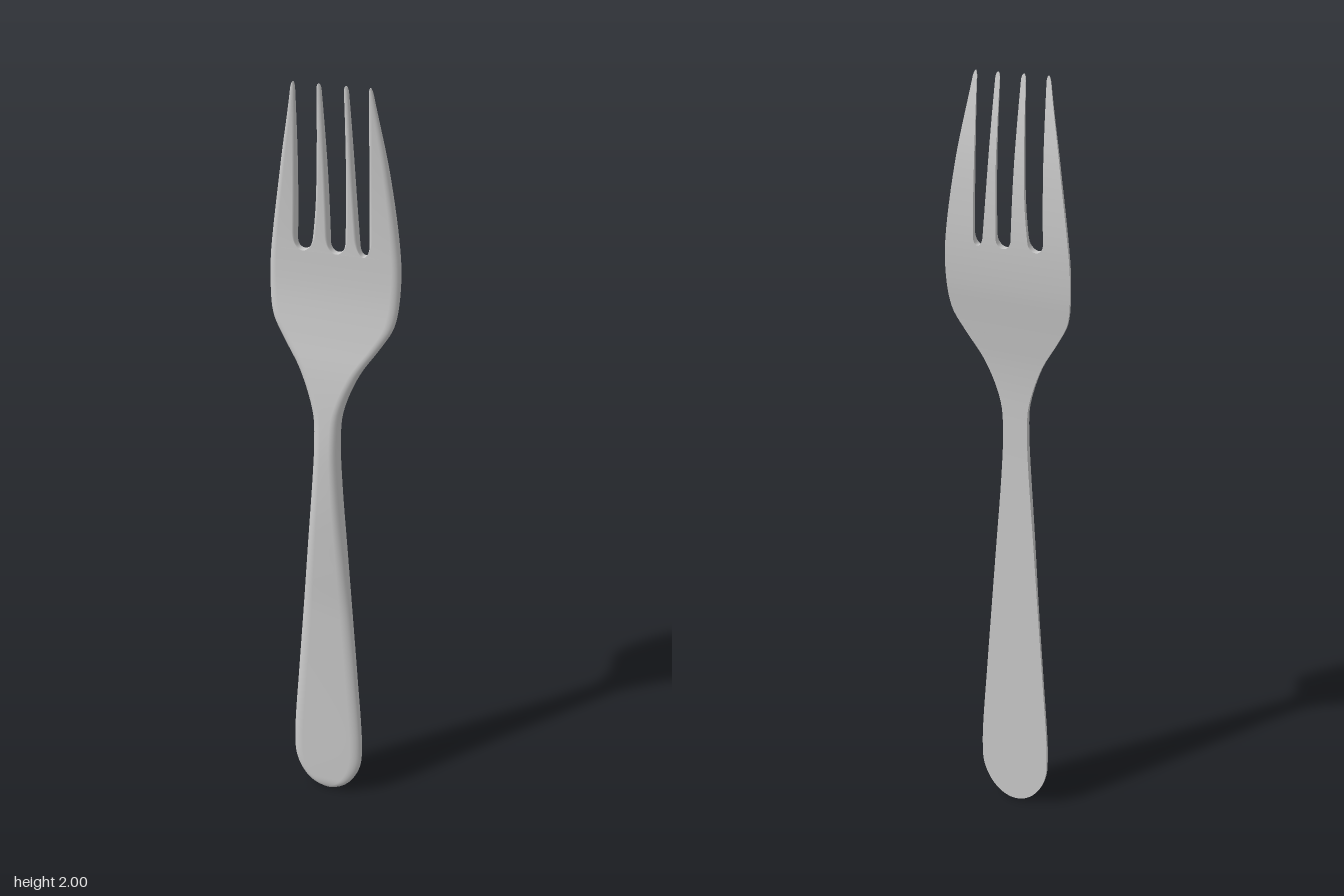
import * as THREE from 'three';

// Smooth curve through [y, value] points
function profile(pts) {
  const slope = (i) => {
    const a = pts[Math.max(i - 1, 0)], b = pts[Math.min(i + 1, pts.length - 1)];
    return (b[1] - a[1]) / (b[0] - a[0]);
  };
  return (y) => {
    let i = 0;
    while (i < pts.length - 2 && y > pts[i + 1][0]) i++;
    const [y0, v0] = pts[i], [y1, v1] = pts[i + 1], h = y1 - y0;
    const t = Math.min(Math.max((y - y0) / h, 0), 1), t2 = t * t, t3 = t2 * t;
    return (2 * t3 - 3 * t2 + 1) * v0 + (t3 - 2 * t2 + t) * h * slope(i)
      + (3 * t2 - 2 * t3) * v1 + (t3 - t2) * h * slope(i + 1);
  };
}

// Quarter-round that grows from 0 to 1 over a distance r
const round = (d, r) => Math.sqrt(Math.max(0, 1 - Math.max(0, 1 - d / r) ** 2));

const SLOT = 1.6, TOP = 2;

// Outline: half width and centre line
const halfWidth = profile([[0, 0.093], [0.1, 0.097], [0.2, 0.097], [0.4, 0.083], [0.6, 0.068], [0.8, 0.053],
  [1, 0.038], [1.12, 0.033], [1.2, 0.039], [1.3, 0.075], [1.38, 0.125], [1.43, 0.152], [1.5, 0.162],
  [1.6, 0.16], [1.8, 0.132], [1.95, 0.104], [2, 0.095]]);
const centre = profile([[0, -0.008], [1.2, -0.008], [1.45, -0.003], [2, -0.002]]);
const leftEdge = (y) => centre(y) - halfWidth(y) * round(y, 0.13);
const rightEdge = (y) => centre(y) + halfWidth(y) * round(y, 0.13);

// Side profile: front and back surfaces
const front = profile([[0, 0.023], [0.6, 0.025], [0.75, 0.031], [0.9, 0.037], [1, 0.038], [1.1, 0.036], [1.2, 0.028],
  [1.3, 0.016], [1.4, 0], [1.5, -0.012], [1.6, -0.016], [1.7, -0.016], [1.8, -0.013], [1.9, -0.007], [2, 0.002]]);
const back = profile([[0, 0], [0.6, 0], [1, 0.002], [1.2, 0], [1.3, -0.006], [1.4, -0.018], [1.5, -0.031],
  [1.6, -0.037], [1.7, -0.036], [1.8, -0.03], [1.9, -0.018], [2, -0.003]]);

// Loft between two edges: flat back, front with rounded shoulders
function loft(name, y0, y1, rows, left, right, leftRound, rightRound, material) {
  const pos = [], idx = [], ARC = 7;
  const strip = (section) => {
    const base = pos.length / 3;
    let n = 0;
    for (let j = 0; j <= rows; j++) {
      const y = y0 + (y1 - y0) * (1 - Math.cos(Math.PI * j / rows)) / 2;
      const pts = section(y);
      n = pts.length;
      for (const [x, z] of pts) pos.push(x, y, z);
    }
    for (let j = 0; j < rows; j++) {
      for (let i = 0; i < n - 1; i++) {
        const a = base + j * n + i;
        idx.push(a, a + 1, a + n, a + 1, a + n + 1, a + n);
      }
    }
  };
  strip((y) => {
    const l = left(y), r = right(y), zb = back(y);
    const t = (front(y) - zb) * (0.3 + 0.7 * round(y, 0.04));
    const rl = Math.min(leftRound(y), (r - l) / 2), rr = Math.min(rightRound(y), (r - l) / 2);
    const arc = (x, rad) => {
      const pts = [[x, zb]];
      for (let k = 0; k <= ARC; k++) {
        const a = (k / ARC) * Math.PI / 2;
        pts.push([x + rad * (1 - Math.cos(a)), zb + t * (0.25 + 0.75 * Math.sin(a))]);
      }
      return pts;
    };
    return [...arc(l, rl), ...arc(r, -rr).reverse()];
  });
  strip((y) => [[right(y), back(y)], [left(y), back(y)]]);

  const geo = new THREE.BufferGeometry();
  geo.setAttribute('position', new THREE.Float32BufferAttribute(pos, 3));
  geo.setIndex(idx);
  geo.computeVertexNormals();
  const mesh = new THREE.Mesh(geo, material);
  mesh.name = name;
  return mesh;
}

export function createModel() {
  const fork = new THREE.Group();
  fork.name = 'fork';
  const metal = new THREE.MeshStandardMaterial({ color: 0xcccccc, side: THREE.DoubleSide });

  // Handle, neck and head up to the slots
  const edgeRound = profile([[0, 0.03], [0.6, 0.028], [1.1, 0.022], [1.4, 0.022], [1.6, 0.018], [2, 0.008]]);
  fork.add(loft('handleAndHead', 0, SLOT, 120, leftEdge, rightEdge, edgeRound, edgeRound, metal));

  // Slots with rounded bottoms: left and right walls
  const slots = [
    [[[1.6, -0.098], [1.8, -0.093], [2, -0.088]], [[1.6, -0.06], [1.7, -0.05], [1.8, -0.045], [2, -0.037]]],
    [[[1.6, -0.014], [1.8, -0.02], [2, -0.026]], [[1.6, 0.024], [1.8, 0.026], [2, 0.027]]],
    [[[1.6, 0.06], [1.7, 0.052], [1.8, 0.046], [2, 0.038]], [[1.6, 0.084], [1.8, 0.082], [2, 0.085]]],
  ].map(([l, r]) => {
    const wl = profile(l), wr = profile(r);
    const wall = (side) => (y) => {
      const mid = (wl(y) + wr(y)) / 2;
      return mid + side * (wr(y) - wl(y)) / 2 * round(y - SLOT, 0.022);
    };
    return { left: wall(-1), right: wall(1) };
  });

  // Four tines between the slots, with rounded tips
  const slotRound = (y) => 0.009 * THREE.MathUtils.smoothstep(y, SLOT, SLOT + 0.04);
  for (let i = 0; i < 4; i++) {
    const l = i === 0 ? leftEdge : slots[i - 1].right;
    const r = i === 3 ? rightEdge : slots[i].left;
    const tip = (a, b) => (y) => {
      const mid = (a(y) + b(y)) / 2;
      return mid + (a(y) - mid) * round(TOP - y, 0.015);
    };
    fork.add(loft(`tine${i + 1}`, SLOT, TOP, 48, tip(l, r), tip(r, l),
      i === 0 ? edgeRound : slotRound, i === 3 ? edgeRound : slotRound, metal));
  }
  return fork;
}
